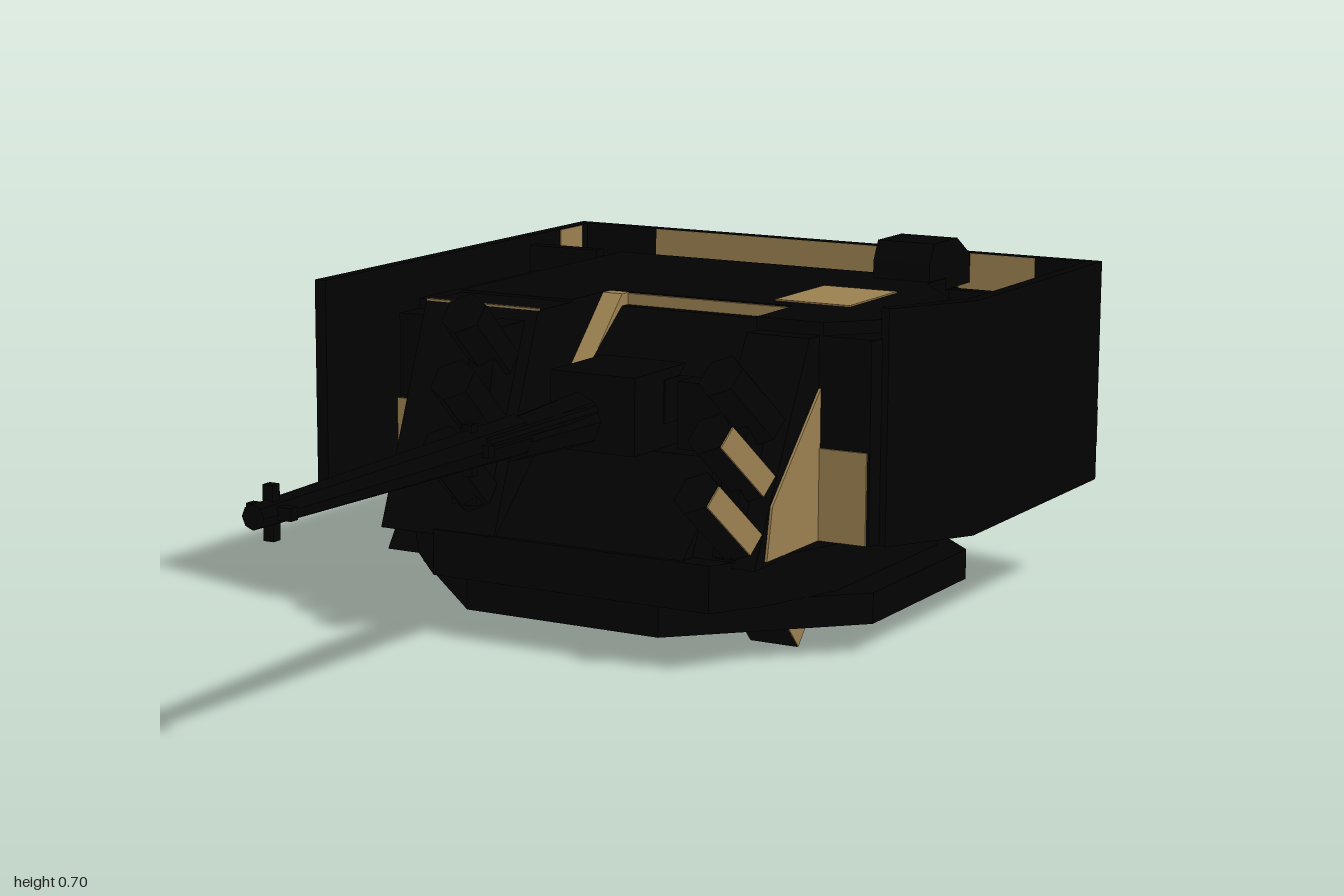
import * as THREE from 'three';

export function createModel() {
  const root = new THREE.Group();
  const mat = (name, color) => {
    const m = new THREE.MeshStandardMaterial({ color, side: THREE.DoubleSide, flatShading: true });
    m.name = name;
    return m;
  };
  const black = mat('black armour', 0x020202);
  const tan = mat('tan paint', 0x9c8151);
  const grey = mat('dark grey', 0x303030);

  const add = (name, geo, m = black, pos = [0, 0, 0], rot = [0, 0, 0]) => {
    const mesh = new THREE.Mesh(geo, m);
    mesh.name = name;
    mesh.position.set(...pos);
    mesh.rotation.set(...rot);
    root.add(mesh);
    return mesh;
  };
  // Box given by its limits on each axis
  const box = (name, x0, x1, y0, y1, z0, z1, m = black) =>
    add(name, new THREE.BoxGeometry(x1 - x0, y1 - y0, z1 - z0), m,
      [(x0 + x1) / 2, (y0 + y1) / 2, (z0 + z1) / 2]);
  // Plan outline of [x, z] points raised between two heights
  const prism = (name, pts, y0, y1, m = black) => {
    const shape = new THREE.Shape(pts.map(([x, z]) => new THREE.Vector2(x, -z)));
    const geo = new THREE.ExtrudeGeometry(shape, { depth: y1 - y0, bevelEnabled: false });
    geo.rotateX(-Math.PI / 2);
    return add(name, geo, m, [0, y0, 0]);
  };
  // Side outline of [z, y] points extended between two x positions
  const slab = (name, pts, x0, x1, m = black) => {
    const shape = new THREE.Shape(pts.map(([z, y]) => new THREE.Vector2(-z, y)));
    const geo = new THREE.ExtrudeGeometry(shape, { depth: x1 - x0, bevelEnabled: false });
    geo.rotateY(Math.PI / 2);
    return add(name, geo, m, [x0, 0, 0]);
  };

  // Octagonal base ring and hull
  add('baseRing', new THREE.CylinderGeometry(0.547, 0.547, 0.06, 8), black, [-0.018, 0.09, -0.43], [0, Math.PI / 8, 0]);
  add('basePlate', new THREE.BoxGeometry(0.18, 0.004, 0.4), grey, [0.09, 0.059, -0.345], [0, -Math.PI / 4, 0]);
  prism('lowerHull', [[-0.3, 0.08], [0.3, 0.08], [0.36, -0.02], [0.42, -0.2], [0.42, -0.65],
    [0.32, -0.77], [-0.4, -0.77], [-0.5, -0.62], [-0.5, -0.14]], 0.12, 0.21);
  // Recess for the gun, cut into the front of the hull and roof
  const notch = [[-0.165, -0.21], [-0.165, -0.36], [0.24, -0.36], [0.24, -0.21]];
  prism('upperHull', [[-0.45, -0.21], ...notch, [0.48, -0.21], [0.5, -0.24], [0.5, -0.57], [0.48, -0.65],
    [0.34, -0.79], [0.34, -0.9], [-0.42, -0.9], [-0.42, -0.75], [-0.52, -0.65], [-0.52, -0.21]], 0.21, 0.6);
  slab('rearOverhang', [[-0.76, 0.13], [-0.76, 0.22], [-0.9, 0.22]], -0.42, 0.34);
  box('rearRack', -0.24, 0.2, 0.25, 0.58, -0.935, -0.9);

  // Roof, with lighter patches
  prism('roof', [[-0.42, -0.21], ...notch, [0.38, -0.21], [0.46, -0.3], [0.46, -0.6], [0.34, -0.75],
    [0.34, -0.84], [-0.42, -0.84]], 0.6, 0.625);
  box('roofRearStrip', -0.42, 0.205, 0.6, 0.606, -0.9, -0.84, tan);
  box('roofHatch', 0.18, 0.34, 0.624, 0.628, -0.61, -0.4, tan);
  slab('sightBox', [[-0.77, 0.6], [-0.77, 0.66], [-0.79, 0.7], [-0.9, 0.7], [-0.965, 0.66], [-0.965, 0.6]], 0.21, 0.335);

  // Front wedges on both sides of the gun
  slab('rightCheek', [[0.08, 0.2], [-0.085, 0.62], [-0.3, 0.62], [-0.3, 0.2]], -0.42, -0.165);
  box('cheekEdgeStripe', -0.42, -0.165, 0.62, 0.624, -0.093, -0.085, tan);
  slab('leftCheek', [[0.04, 0.2], [-0.17, 0.6], [-0.3, 0.6], [-0.3, 0.2]], 0.24, 0.372);
  slab('gunDeck', [[0.08, 0.2], [-0.1, 0.37], [-0.37, 0.37], [-0.37, 0.2]], -0.165, 0.24);
  slab('recessEdge', [[-0.14, 0.43], [-0.33, 0.624], [-0.358, 0.624], [-0.358, 0.43]], -0.165, -0.122, tan);
  box('recessBack', -0.122, 0.24, 0.37, 0.622, -0.36, -0.354, tan);
  slab('recessHood', [[-0.2, 0.5], [-0.33, 0.6], [-0.352, 0.6], [-0.352, 0.5]], -0.122, 0.24);
  box('gunMantlet', -0.105, 0.08, 0.37, 0.52, -0.25, -0.03);
  box('mantletBrow', -0.122, 0.083, 0.415, 0.5, -0.25, -0.14);
  box('coaxMount', 0.11, 0.23, 0.37, 0.5, -0.25, -0.14);
  box('coaxBrow', 0.11, 0.24, 0.415, 0.5, -0.25, -0.14);

  // Painted wedge side and the painted step behind it
  slab('paintedCheek', [[0, 0.21], [-0.21, 0.21], [-0.21, 0.5], [-0.02, 0.31]], 0.372, 0.377, tan);
  box('paintedStep', 0.377, 0.475, 0.21, 0.387, -0.21, -0.206, tan);

  // Side stowage
  box('rightShoulder', -0.52, -0.42, 0.21, 0.58, -0.5, -0.14);
  box('shoulderPatch', -0.525, -0.425, 0.32, 0.41, -0.14, -0.136, tan);
  box('rightStowage', -0.535, -0.5, 0.3, 0.55, -0.56, -0.32);
  box('leftStowage', 0.48, 0.505, 0.25, 0.6, -0.57, -0.24);
  slab('rightFootWedge', [[-0.06, 0.12], [-0.16, 0.26], [-0.3, 0.26], [-0.3, 0.12]], -0.5, -0.4);

  // Wedge-shaped nub below the base, with painted ends
  slab('lowerNub', [[-0.255, 0.06], [-0.145, 0.06], [-0.2, 0]], 0.24, 0.34);
  for (const x of [0.238, 0.34]) slab('nubEnd', [[-0.255, 0.06], [-0.145, 0.06], [-0.2, 0.001]], x, x + 0.002, tan);

  // Cannon: tapered tube, sleeves and clamps
  const tube = (name, r0, r1, z0, z1, x, y) =>
    add(name, new THREE.CylinderGeometry(r1, r0, z1 - z0, 8), black, [x, y, (z0 + z1) / 2], [Math.PI / 2, 0, 0]);
  tube('barrelSleeve', 0.055, 0.04, -0.08, 0.2, -0.045, 0.43);
  tube('barrel', 0.04, 0.022, 0.2, 1, -0.042, 0.438);
  for (const z of [0.35, 0.95]) {
    box('barrelClamp', -0.085, 0.005, 0.428, 0.45, z - 0.01, z + 0.01);
    box('barrelClamp', -0.051, -0.031, 0.39, 0.485, z - 0.01, z + 0.01);
  }
  box('barrelStripe', -0.078, -0.072, 0.425, 0.445, 0.38, 0.56, tan);
  tube('coaxBarrel', 0.014, 0.01, -0.05, 0.34, -0.012, 0.45);

  // Angled six-sided smoke launchers, three on each side
  const tubeGeo = new THREE.CylinderGeometry(0.046, 0.046, 0.16, 6);
  tubeGeo.rotateX(Math.PI / 2);
  const launcher = (name, x, y, z, yaw, painted) => {
    const g = new THREE.Group();
    g.name = name;
    g.position.set(x, y, z);
    g.rotation.set(-0.75, yaw, 0, 'YXZ');
    const body = new THREE.Mesh(tubeGeo, black);
    body.name = 'launcherTube';
    g.add(body);
    if (painted) {
      const side = new THREE.Mesh(new THREE.BoxGeometry(0.004, 0.046, 0.158), tan);
      side.name = 'launcherSide';
      side.position.x = 0.041;
      g.add(side);
    }
    root.add(g);
  };
  [[0.58, 0.03], [0.46, 0.07], [0.34, 0.11]].forEach(([y, z]) => launcher('rightLauncher', -0.222, y, z, 0, false));
  [[0.5, -0.02], [0.4, 0.02], [0.3, 0.07]].forEach(([y, z], i) => launcher('leftLauncher', 0.312, y, z, -0.25, i > 0));
  slab('rightLauncherBracket', [[0.1, 0.27], [0.02, 0.6], [-0.08, 0.6], [0.04, 0.27]], -0.245, -0.19);
  slab('leftLauncherBracket', [[0.05, 0.22], [-0.02, 0.5], [-0.1, 0.45], [0, 0.2]], 0.29, 0.33);

  // Surrounding armour screen
  const y0 = 0.21, y1 = 0.66;
  box('rearScreen', -0.61, 0.61, y0, y1, -1, -0.975);
  box('rightScreen', -0.61, -0.585, y0, y1, -0.98, 0.02);
  prism('leftScreen', [[0.61, -0.98], [0.61, -0.395], [0.51, -0.22], [0.488, -0.232], [0.585, -0.405], [0.585, -0.98]], y0, y1);
  box('rightStrut', -0.59, -0.42, y0 + 0.1, y1 - 0.02, -0.765, -0.735);
  box('leftStrut', 0.42, 0.57, y0 + 0.05, y1 - 0.03, -0.7, -0.675);
  // Painted areas of the screen
  box('rearPanelPaint', -0.61, 0.42, 0.37, y1 - 0.002, -1.002, -1, tan);
  box('rearPanelPaintLow', -0.61, 0.42, y0, 0.25, -1.002, -1, tan);
  box('rearPanelPaintEnd', 0.42, 0.61, 0.285, 0.36, -1.002, -1, tan);
  box('rearInnerPaint', -0.41, 0.475, y0, y1 - 0.001, -0.975, -0.973, tan);
  box('rightInnerPaint', -0.585, -0.583, 0.36, y1 - 0.002, -0.95, -0.86, tan);
  box('rightInnerPaintLow', -0.585, -0.583, y0, 0.36, -0.9, -0.61, tan);
  box('rightOuterPaint', -0.6115, -0.61, 0.22, 0.39, -0.16, -0.03, tan);
  return root;
}
